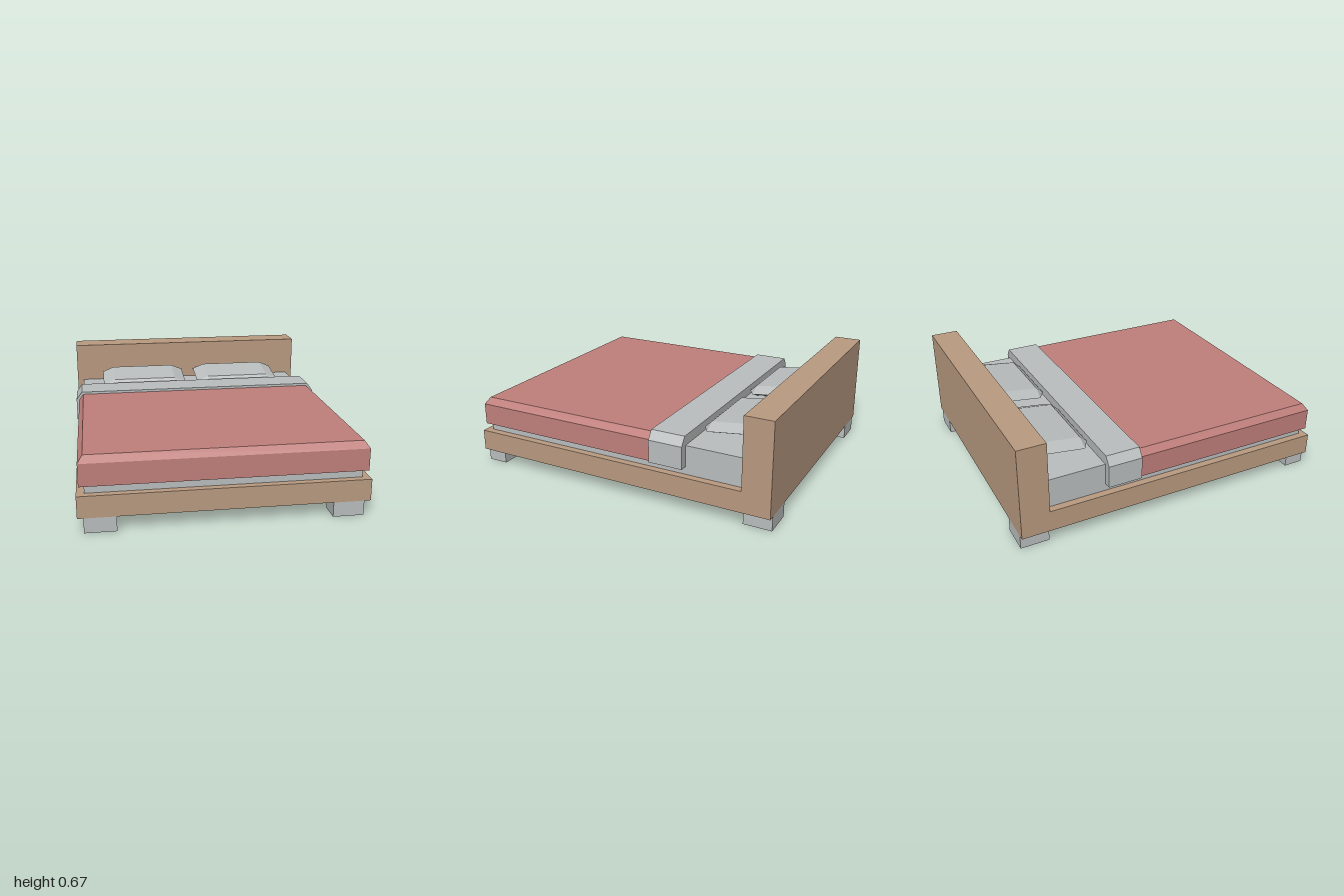
import * as THREE from 'three';
import { ConvexGeometry } from 'three/addons/geometries/ConvexGeometry.js';

const material = (name, color) => {
  const m = new THREE.MeshStandardMaterial({ color });
  m.name = name;
  return m;
};

export function createModel() {
  const wood = material('wood', 0xb99a80);
  const linen = material('linen', 0xbabebe);
  const red = material('red blanket', 0xc07f7b);
  const bed = new THREE.Group();
  bed.name = 'bed';

  const add = (name, geometry, mat) => {
    const mesh = new THREE.Mesh(geometry, mat);
    mesh.name = name;
    bed.add(mesh);
    return mesh;
  };

  // Box given by its limits on each axis
  const box = (name, mat, [x0, x1], [y0, y1], [z0, z1]) =>
    add(name, new THREE.BoxGeometry(x1 - x0, y1 - y0, z1 - z0), mat)
      .position.set((x0 + x1) / 2, (y0 + y1) / 2, (z0 + z1) / 2);

  // Bevelled cover: stacked rectangles [y, halfWidth, back, front]
  const cover = (name, mat, layers) => {
    const points = [];
    for (const [y, w, back, front] of layers)
      for (const x of [-w, w])
        for (const z of [back, front]) points.push(new THREE.Vector3(x, y, z));
    add(name, new ConvexGeometry(points), mat);
  };

  // Frame, headboard and feet
  box('bedFrame', wood, [-0.845, 0.845], [0.09, 0.222], [-0.825, 1]);
  box('headboard', wood, [-0.845, 0.845], [0.09, 0.67], [-1, -0.825]);
  for (const [side, x] of [['left', 0.714], ['right', -0.718]]) {
    box(side + 'FrontFoot', linen, [x - 0.092, x + 0.092], [0, 0.09], [0.87, 1]);
    box(side + 'BackFoot', linen, [x - 0.092, x + 0.092], [0, 0.09], [-1, -0.825]);
  }

  // Mattress and bedding
  box('mattress', linen, [-0.8, 0.8], [0.222, 0.402], [-0.825, 0.957]);
  cover('blanket', red, [
    [0.27, 0.83, -0.25, 0.982],
    [0.405, 0.83, -0.25, 0.982],
    [0.447, 0.8, -0.25, 0.954],
  ]);
  cover('sheetFold', linen, [
    [0.27, 0.848, -0.46, -0.245],
    [0.41, 0.848, -0.46, -0.245],
    [0.463, 0.81, -0.46, -0.245],
  ]);

  // Pillow: flat octagon seam with a smaller panel above and below
  const points = [];
  const ring = (x, y, z) => {
    for (const sx of [-x, x]) for (const sz of [-z, z]) points.push(new THREE.Vector3(sx, y, sz));
  };
  ring(0.302, 0, 0.13);
  ring(0.222, 0, 0.177);
  ring(0.222, 0.034, 0.13);
  ring(0.222, -0.034, 0.13);
  const pillow = new ConvexGeometry(points);
  for (const [side, x] of [['left', 0.344], ['right', -0.35]]) {
    const mesh = add(side + 'Pillow', pillow, linen);
    mesh.position.set(x, 0.456, -0.646);
    mesh.rotation.x = 0.125;
  }
  return bed;
}
